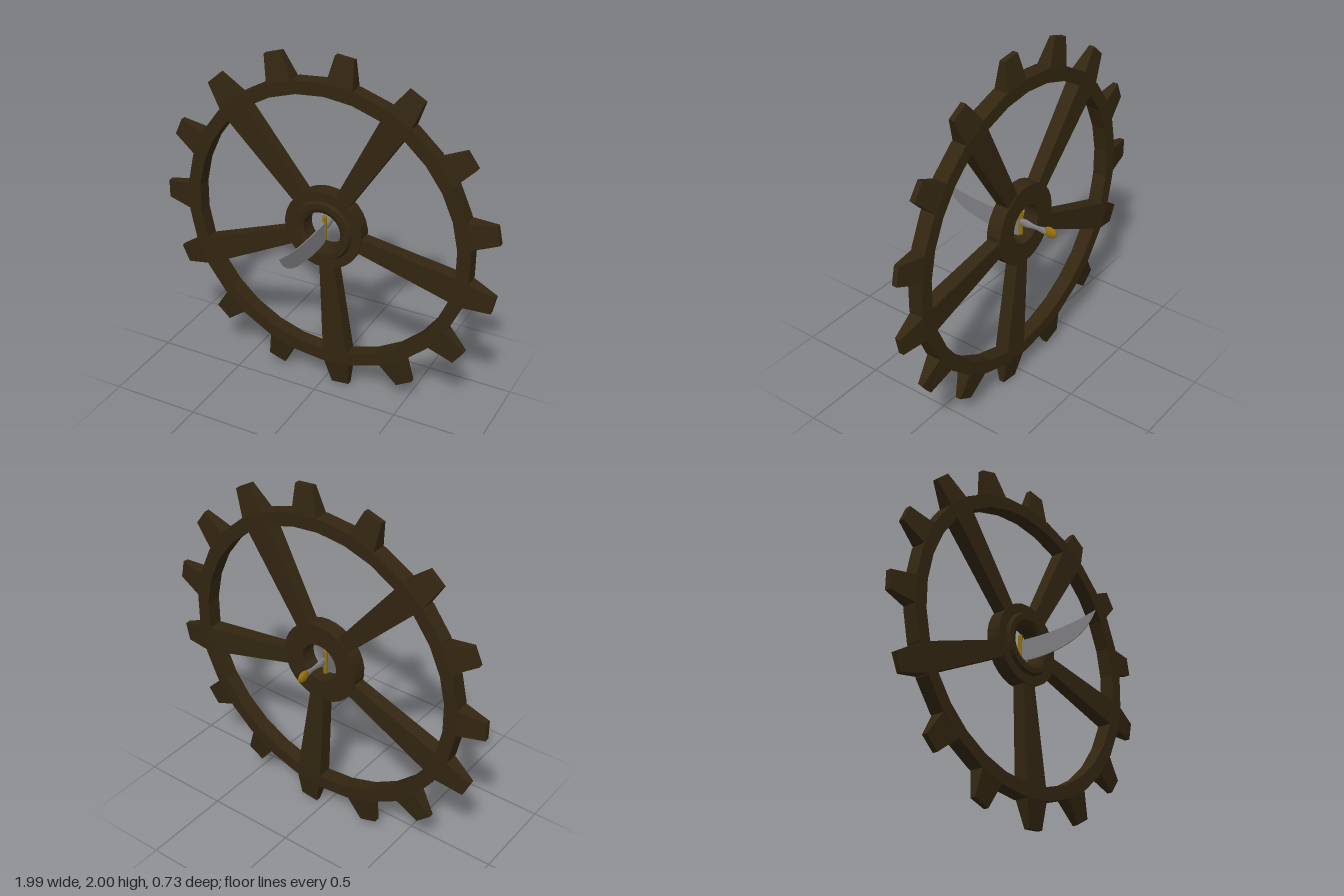
import * as THREE from 'three';

const WHEEL_Z = -0.138, HALF = 0.0425;

// Closed ring turned about the z axis; profile is [radius, z] pairs, counter-clockwise
function ring(profile, segments) {
  const pts = [...profile, profile[0]].map(([r, z]) => new THREE.Vector2(r, z));
  return new THREE.LatheGeometry(pts, segments).rotateX(Math.PI / 2);
}

// Box running along +x from r0 to r1, with its own half width and half depth at each end
function taperedBar(r0, r1, w0, w1, d0, d1) {
  const g = new THREE.BoxGeometry(2, 2, 2);
  const p = g.attributes.position;
  for (let i = 0; i < p.count; i++) {
    const outer = p.getX(i) > 0;
    p.setXYZ(i, outer ? r1 : r0, p.getY(i) * (outer ? w1 : w0), p.getZ(i) * (outer ? d1 : d0));
  }
  g.computeVertexNormals();
  return g;
}

export function createModel() {
  const model = new THREE.Group();
  const mat = (name, color, flat) => {
    const m = new THREE.MeshStandardMaterial({ color });
    m.name = name;
    m.flatShading = flat;
    return m;
  };
  const wood = mat('dark wood', 0x332611, true);
  const steel = mat('steel', 0x808084, true);
  const gold = mat('gold', 0x94700c, false);

  const add = (parent, name, geometry, material) => {
    const m = new THREE.Mesh(geometry, material);
    m.name = name;
    parent.add(m);
    return m;
  };

  // Cog wheel
  const wheel = new THREE.Group();
  wheel.name = 'cogWheel';
  wheel.position.set(0, 1, WHEEL_Z);
  model.add(wheel);

  add(wheel, 'rim', ring([[0.775, -HALF], [0.85, -HALF], [0.85, HALF], [0.775, HALF]], 30), wood);

  // Hub with a raised, chamfered collar on the front
  add(wheel, 'hub', ring([
    [0.11, -HALF], [0.23, -HALF], [0.23, HALF], [0.175, HALF],
    [0.165, 0.062], [0.135, 0.062], [0.11, 0.05],
  ], 30), wood);

  // Fifteen teeth, every third one carried by a spoke
  const toothGeo = taperedBar(0.835, 0.998, 0.078, 0.053, HALF, 0.015);
  const spokeGeo = taperedBar(0.19, 0.842, 0.043, 0.08, 0.036, HALF);
  for (let i = 0; i < 15; i++) {
    const angle = (12 + i * 24) * Math.PI / 180;
    add(wheel, 'tooth', toothGeo, wood).rotation.z = angle;
    if (i % 3 === 2) add(wheel, 'spoke', spokeGeo, wood).rotation.z = angle;
  }

  // Curved sword through the hub, lying in the y-z plane
  const sword = new THREE.Group();
  sword.name = 'sword';
  sword.position.set(-0.006, 1, 0);
  model.add(sword);

  const outline = new THREE.Shape();
  outline.moveTo(-0.13, 0.03);
  outline.lineTo(-0.13, -0.09);
  outline.splineThru([[-0.05, -0.1], [0.06, -0.098], [0.18, -0.08], [0.27, -0.045], [0.33, 0.005], [0.368, 0.06]]
    .map(([z, y]) => new THREE.Vector2(z, y)));
  outline.splineThru([[0.25, 0.036], [0.12, 0.024], [0, 0.022], [-0.13, 0.03]]
    .map(([z, y]) => new THREE.Vector2(z, y)));
  const bladeGeo = new THREE.ExtrudeGeometry(outline, { depth: 0.01, bevelEnabled: false, curveSegments: 24 });
  bladeGeo.translate(0, 0, -0.005).rotateY(-Math.PI / 2);
  // Thin the blade towards its tip
  const bp = bladeGeo.attributes.position;
  for (let i = 0; i < bp.count; i++) bp.setX(i, bp.getX(i) * (1 - 0.8 * (bp.getZ(i) + 0.13) / 0.5));
  bladeGeo.computeVertexNormals();
  add(sword, 'blade', bladeGeo, steel);

  // Cross guard with rounded ends
  const guard = add(sword, 'guard', new THREE.CapsuleGeometry(0.013, 0.13, 4, 10), gold);
  guard.position.set(-0.003, -0.01, -0.138);

  // Waisted grip
  const gripGeo = new THREE.LatheGeometry([
    [0.022, -0.14], [0.024, -0.18], [0.015, -0.215], [0.014, -0.25], [0.021, -0.29], [0.019, -0.31],
  ].reverse().map(([r, z]) => new THREE.Vector2(r, z)), 12).rotateX(Math.PI / 2).scale(0.5, 1, 1);
  add(sword, 'grip', gripGeo, steel);

  const pommel = add(sword, 'pommel', new THREE.SphereGeometry(1, 16, 10), gold);
  pommel.scale.set(0.015, 0.032, 0.041);
  pommel.position.set(-0.004, 0.002, -0.325);

  return model;
}
